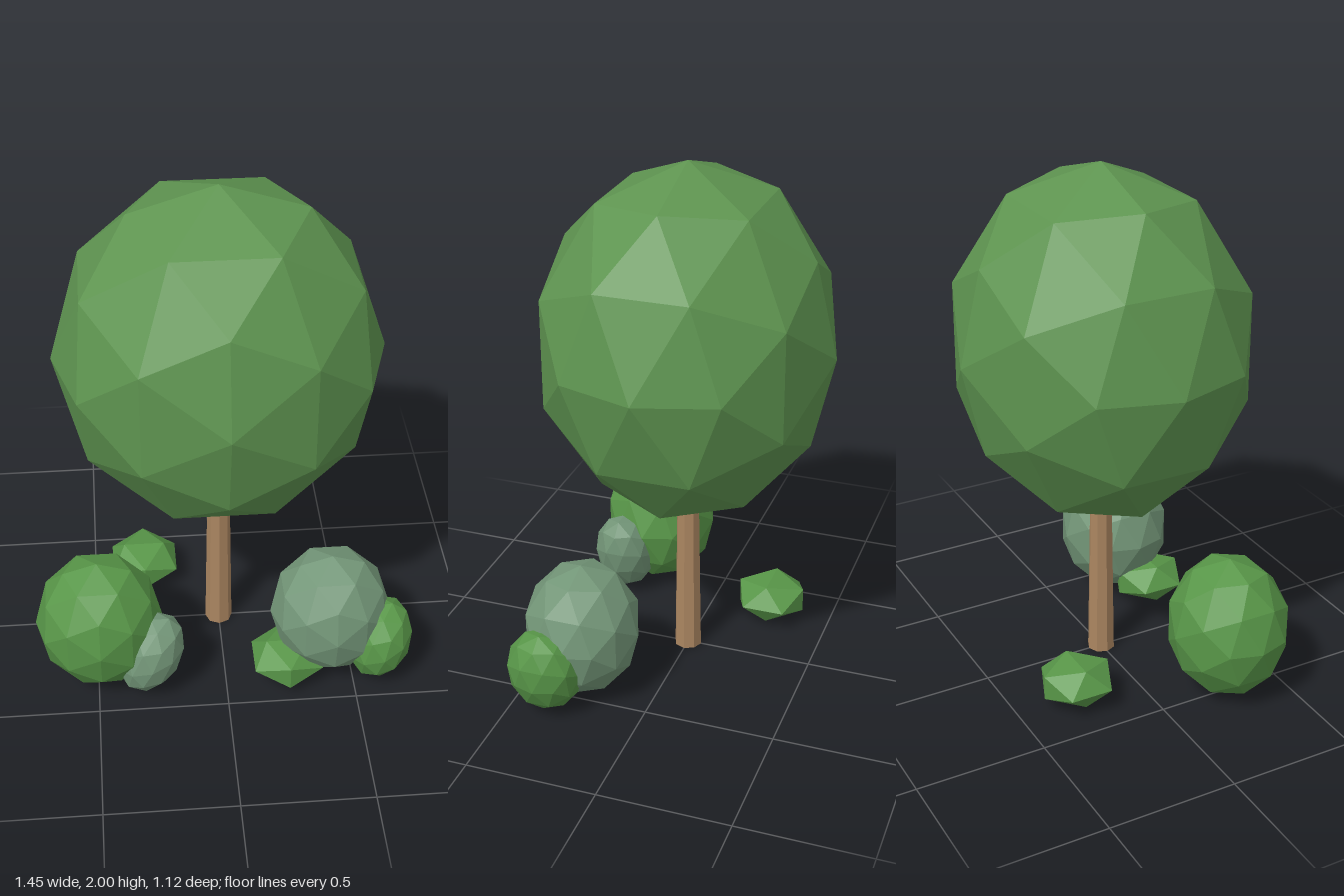
import * as THREE from 'three';

const material = (name, color) => {
  const m = new THREE.MeshStandardMaterial({ color, flatShading: true });
  m.name = name;
  return m;
};

export function createModel() {
  const model = new THREE.Group();
  model.name = 'treeWithBushes';

  const crownGreen = material('crownGreen', 0x5e9450);
  const bushGreen = material('bushGreen', 0x589648);
  const sageGreen = material('sageGreen', 0x739678);
  const bark = material('bark', 0xaa8560);

  // Faceted ellipsoid of foliage, optionally leaning sideways
  const foliage = (name, mat, position, radii, detail = 1, lean = 0) => {
    const geometry = new THREE.IcosahedronGeometry(1, detail);
    geometry.scale(...radii);
    geometry.rotateZ(lean);
    geometry.computeVertexNormals();
    const mesh = new THREE.Mesh(geometry, mat);
    mesh.name = name;
    mesh.position.set(...position);
    model.add(mesh);
  };

  // Tapered trunk, its top hidden in the crown
  const trunkGeometry = new THREE.CylinderGeometry(0.04, 0.054, 0.9, 8).toNonIndexed();
  trunkGeometry.computeVertexNormals();
  const trunk = new THREE.Mesh(trunkGeometry, bark);
  trunk.name = 'trunk';
  trunk.position.y = 0.45;
  model.add(trunk);

  // Crown with a smaller clump just breaking its surface
  foliage('crown', crownGreen, [0, 1.32, 0], [0.61, 0.68, 0.56]);
  foliage('crownClump', crownGreen, [0.115, 1.185, 0.02], [0.43, 0.43, 0.43]);

  // Large bushes
  foliage('rightLargeBush', bushGreen, [-0.485, 0.288, 0.285], [0.245, 0.282, 0.23]);
  foliage('leftLargeBush', sageGreen, [0.415, 0.275, 0.28], [0.235, 0.265, 0.222]);

  // Small leaning bushes in front
  foliage('rightSmallBush', sageGreen, [-0.292, 0.187, 0.38], [0.12, 0.185, 0.122], 1, -0.4);
  foliage('leftSmallBush', bushGreen, [0.6, 0.182, 0.36], [0.125, 0.176, 0.145], 1, -0.25);

  // Low ground plants
  foliage('frontPlant', bushGreen, [0.242, 0.098, 0.35], [0.155, 0.092, 0.157], 0);
  foliage('backPlant', bushGreen, [-0.293, 0.098, -0.262], [0.155, 0.092, 0.157], 0);

  return model;
}
